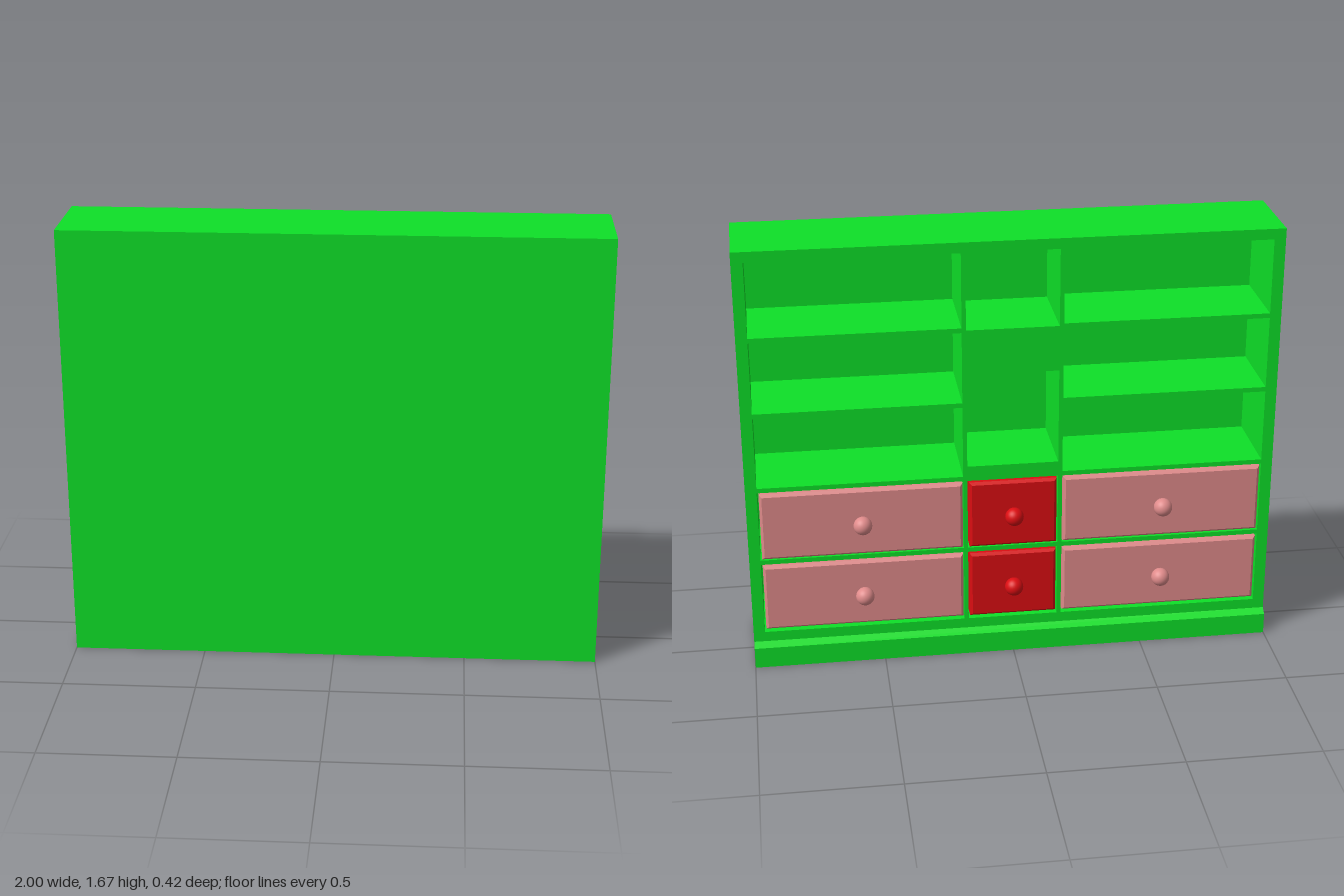
import * as THREE from 'three';

const green = new THREE.MeshStandardMaterial({ color: 0x0ee028 });
const pink = new THREE.MeshStandardMaterial({ color: 0xe08b8b });
const red = new THREE.MeshStandardMaterial({ color: 0xdc0d12 });

const FACE = -0.13; // z of the open face
const BACK = 0.18; // z of the inner wall

export function createModel() {
  const group = new THREE.Group();

  function add(name, geometry, material, x = 0, y = 0, z = 0) {
    const mesh = new THREE.Mesh(geometry, material);
    mesh.name = name;
    mesh.position.set(x, y, z);
    group.add(mesh);
    return mesh;
  }

  // Box given by its lower and upper limits on each axis
  function slab(name, x0, x1, y0, y1, z0 = FACE, z1 = BACK) {
    add(name, new THREE.BoxGeometry(x1 - x0, y1 - y0, z1 - z0), green,
      (x0 + x1) / 2, (y0 + y1) / 2, (z0 + z1) / 2);
  }

  // Outer case
  slab('backPanel', -1, 1, 0, 1.67, BACK, 0.21);
  slab('topPanel', -1, 1, 1.63, 1.67);
  slab('leftSide', 0.957, 1, 0.1, 1.63);
  slab('rightSide', -1, -0.957, 0.1, 1.63);
  slab('floorPanel', -0.957, 0.957, 0.1, 0.14);

  // Plinth with a chamfered lip, profile drawn in z and y
  const profile = new THREE.Shape([
    [-BACK, 0], [0.155, 0], [0.155, 0.083], [0.13, 0.1], [-BACK, 0.1],
  ].map(([z, y]) => new THREE.Vector2(z, y)));
  const plinth = new THREE.ExtrudeGeometry(profile, { depth: 2, bevelEnabled: false });
  plinth.rotateY(Math.PI / 2);
  add('plinth', plinth, green, -1);

  // Uprights between the three columns
  for (const s of [-1, 1]) {
    slab('divider', s * 0.18 - 0.008, s * 0.18 + 0.008, 0.14, 1.63);
  }

  // Shelves of the side columns
  for (const y of [0.44, 0.74, 1.04, 1.335]) {
    slab('leftShelf', 0.188, 0.957, y - 0.009, y + 0.009);
    slab('rightShelf', -0.957, -0.188, y - 0.009, y + 0.009);
  }

  // Middle column: drawer rail, sill and upper block
  slab('middleRail', -0.172, 0.172, 0.431, 0.449);
  slab('middleSill', -0.172, 0.172, 0.731, 0.79);
  slab('middleBlock', -0.172, 0.172, 1.16, 1.335);

  // Drawer with bevelled front edges and a round knob
  function drawer(x, y, width, front, material) {
    const height = 0.27, bevel = 0.01;
    const depth = 0.17 - front - bevel;
    add('drawerBody', new THREE.BoxGeometry(width, height, depth), material,
      x, y, front + bevel + depth / 2);
    const panel = new THREE.BoxGeometry(width, height, bevel);
    const p = panel.attributes.position;
    for (let i = 0; i < p.count; i++) {
      if (p.getZ(i) < 0) {
        p.setX(i, p.getX(i) - Math.sign(p.getX(i)) * bevel);
        p.setY(i, p.getY(i) - Math.sign(p.getY(i)) * bevel);
      }
    }
    panel.computeVertexNormals();
    add('drawerFront', panel, material, x, y, front + bevel / 2);
    add('knob', new THREE.SphereGeometry(0.035, 32, 20), material, x, y + 0.002, front - 0.033);
  }

  for (const [y, lift] of [[0.287, 0], [0.59, 0.006]]) {
    drawer(0.571, y, 0.76, -0.135 - lift, pink);
    drawer(-0.571, y, 0.76, -0.136 - lift / 2, pink);
    drawer(0, y, 0.333, -0.136 - lift, red);
  }

  return group;
}
